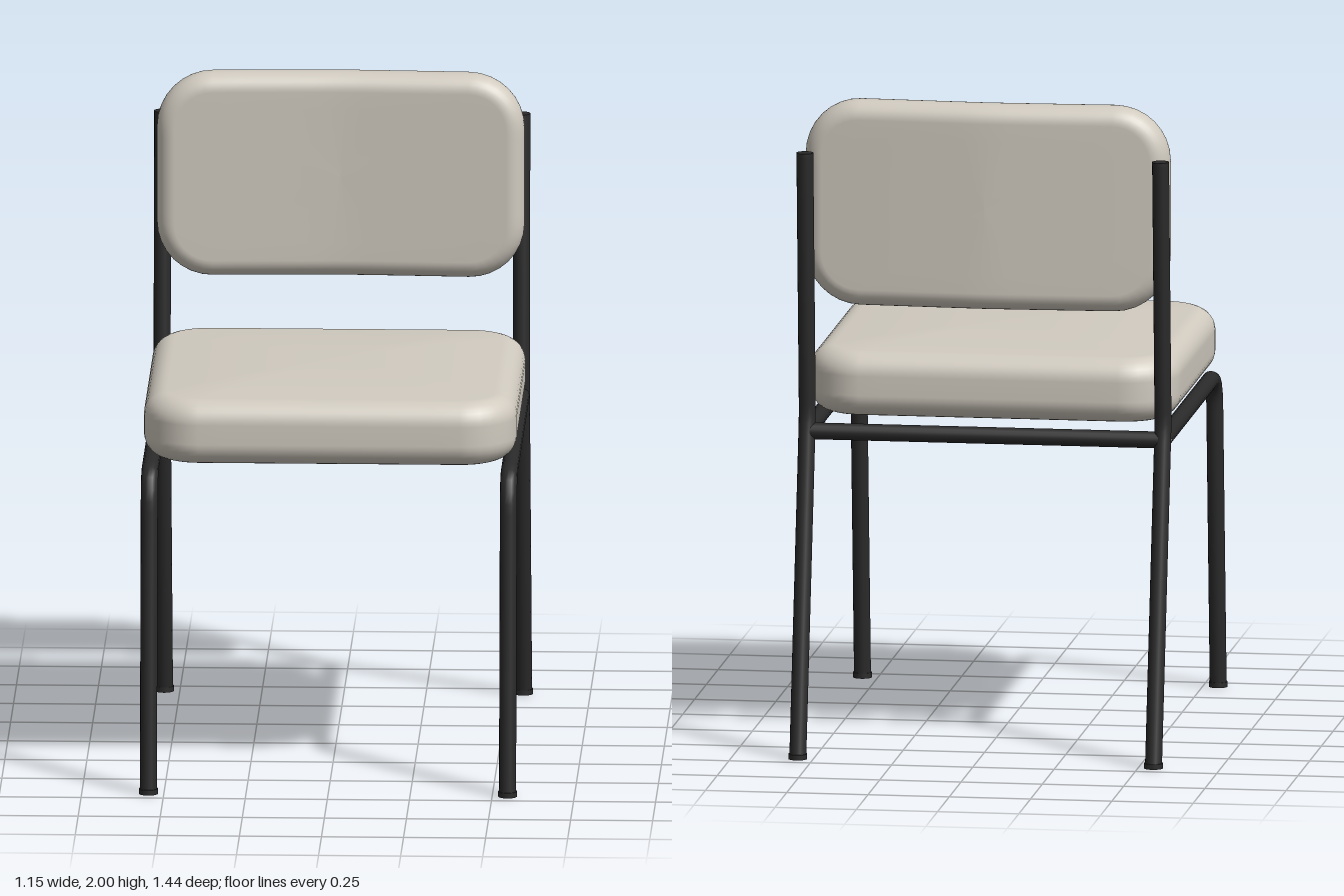
import * as THREE from 'three';

const fabric = new THREE.MeshStandardMaterial({ name: 'beige fabric', color: 0xd0cabf });
const steel = new THREE.MeshStandardMaterial({ name: 'black steel', color: 0x2a2a2a });
const R = 0.026, LEG_X = 0.547, RAIL_Y = 0.98;

// Evenly divided rounded rectangle, counter-clockwise
function outline(hw, hh, r) {
  const pts = [], arc = 8, edge = 10;
  const corners = [[1, 1], [-1, 1], [-1, -1], [1, -1]];
  corners.forEach(([sx, sy], i) => {
    for (let k = 0; k <= arc; k++) {
      const a = (i + k / arc) * Math.PI / 2;
      pts.push([sx * (hw - r) + r * Math.cos(a), sy * (hh - r) + r * Math.sin(a)]);
    }
    const [ax, ay] = pts[pts.length - 1];
    const [nx, ny] = corners[(i + 1) % 4];
    const a = (i + 1) * Math.PI / 2;
    const bx = nx * (hw - r) + r * Math.cos(a), by = ny * (hh - r) + r * Math.sin(a);
    for (let k = 1; k < edge; k++) pts.push([ax + (bx - ax) * k / edge, ay + (by - ay) * k / edge]);
  });
  return pts;
}

// Padded slab in the xy plane: rings run from the back centre, round the edge, to the front centre
function cushion(hw, hh, r, thick, soft, offset) {
  const rings = [], steps = 8, h = thick / 2;
  const inner = [0, 0.2, 0.4, 0.6, 0.8];
  for (const s of inner) rings.push([soft, -h, s]);
  for (let k = 0; k <= steps; k++) {
    const a = k / steps * Math.PI / 2;
    rings.push([soft * (1 - Math.sin(a)), -h + soft * (1 - Math.cos(a)), 1]);
  }
  for (let k = 0; k <= steps; k++) {
    const a = k / steps * Math.PI / 2;
    rings.push([soft * (1 - Math.cos(a)), h - soft * (1 - Math.sin(a)), 1]);
  }
  for (const s of [...inner].reverse()) rings.push([soft, h, s]);

  const pos = [], idx = [];
  let n = 0;
  for (const [inset, z, s] of rings) {
    const loop = outline(hw - inset, hh - inset, r - inset);
    n = loop.length;
    for (const [x, y] of loop) pos.push(x * s, y * s, z + offset(x * s, s, z));
  }
  for (let i = 0; i < rings.length - 1; i++) {
    for (let j = 0; j < n; j++) {
      const a = i * n + j, b = i * n + (j + 1) % n, c = a + n, d = b + n;
      if (i > 0) idx.push(a, b, d);
      if (i < rings.length - 2) idx.push(a, d, c);
      else if (i === rings.length - 2) idx.push(a, b, c);
    }
  }
  const geo = new THREE.BufferGeometry();
  geo.setAttribute('position', new THREE.Float32BufferAttribute(pos, 3));
  geo.setIndex(idx);
  geo.computeVertexNormals();
  return geo;
}

function add(parent, name, geo, mat, x = 0, y = 0, z = 0) {
  const mesh = new THREE.Mesh(geo, mat);
  mesh.name = name;
  mesh.position.set(x, y, z);
  parent.add(mesh);
  return mesh;
}

// Bent pipe in the side plane: straight, rounded bend, straight; points are [z, y]
function bentPipe(start, bendIn, corner, bendOut, end) {
  const [a, b, c, d, e] = [start, bendIn, corner, bendOut, end].map(([z, y]) => new THREE.Vector3(0, y, z));
  const path = new THREE.CurvePath();
  path.add(new THREE.LineCurve3(a, b));
  path.add(new THREE.QuadraticBezierCurve3(b, c, d));
  path.add(new THREE.LineCurve3(d, e));
  return new THREE.TubeGeometry(path, 64, R, 16);
}

export function createModel() {
  const chair = new THREE.Group();
  chair.name = 'chair';

  // Seat with a gently domed top
  const seat = add(chair, 'seat',
    cushion(0.568, 0.5375, 0.17, 0.2, 0.07, (x, s, z) => z > 0 ? 0.02 * (1 - s * s) : 0),
    fabric, 0, 1.11, 0.1075);
  seat.rotation.x = -Math.PI / 2;

  // Backrest wrapping slightly forward at both sides
  add(chair, 'backrest',
    cushion(0.56, 0.3175, 0.17, 0.123, 0.055, x => 0.026 * Math.pow(Math.abs(x) / 0.56, 1.2)),
    fabric, 0, 1.6825, -0.445);

  // Mirrored side frames
  const frontGeo = bentPipe([0.69, 0.005], [0.617, 0.88], [0.609, RAIL_Y], [0.52, RAIL_Y], [-0.487, RAIL_Y]);
  const rearGeo = bentPipe([-0.688, 0.005], [-0.492, 0.99], [-0.484, 1.03], [-0.487, 1.07], [-0.537, 1.845]);
  const footGeo = new THREE.CylinderGeometry(0.029, 0.029, 0.016, 20);
  const capGeo = new THREE.CylinderGeometry(R, R, 0.01, 20);
  for (const side of [1, -1]) {
    const frame = new THREE.Group();
    frame.name = side > 0 ? 'leftFrame' : 'rightFrame';
    frame.position.x = side * LEG_X;
    add(frame, 'frontLegAndRail', frontGeo, steel);
    add(frame, 'rearLegAndUpright', rearGeo, steel);
    add(frame, 'frontFoot', footGeo, steel, 0, 0.008, 0.69);
    add(frame, 'rearFoot', footGeo, steel, 0, 0.008, -0.688);
    add(frame, 'uprightCap', capGeo, steel, 0, 1.844, -0.537);
    chair.add(frame);
  }

  // Rear crossbar between the frames
  const bar = add(chair, 'rearCrossbar', new THREE.CylinderGeometry(R, R, 2 * LEG_X, 16), steel, 0, RAIL_Y, -0.492);
  bar.rotation.z = Math.PI / 2;
  return chair;
}
